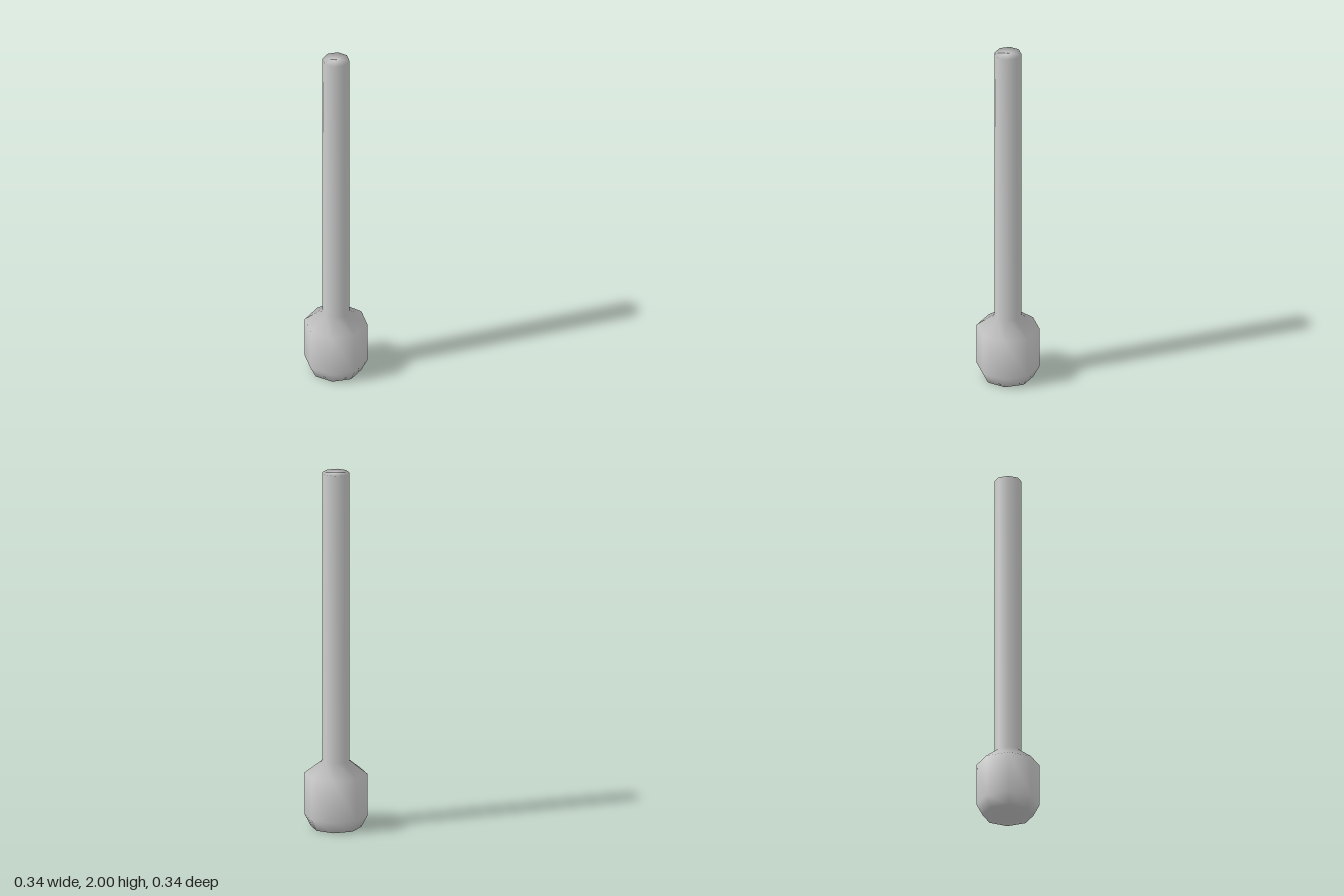
import * as THREE from 'three';

export function createModel() {
  const group = new THREE.Group();
  group.name = 'post';

  // Closed eight-sided profile, bottom to top: bulbous base, shoulder, long shaft
  const profile = [
    [0, 0], [0.138, 0], [0.172, 0.065], [0.172, 0.3],
    [0.074, 0.375], [0.074, 2], [0, 2],
  ].map(([r, y]) => new THREE.Vector2(r, y));

  const mesh = new THREE.Mesh(
    new THREE.LatheGeometry(profile, 8),
    new THREE.MeshStandardMaterial({ color: 0xcccccc }),
  );
  mesh.name = 'shaftWithBase';
  group.add(mesh);
  return group;
}
